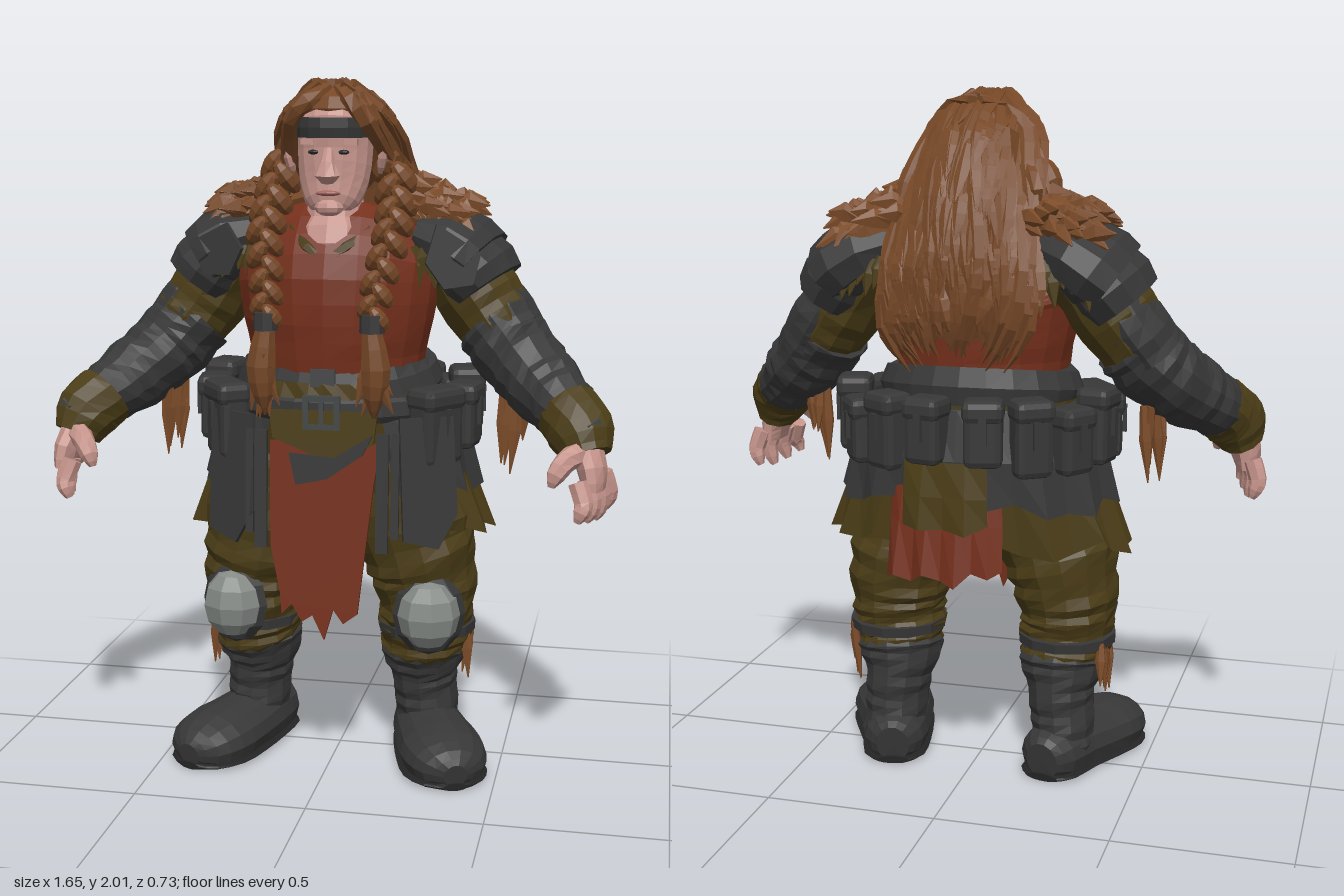
import * as THREE from 'three';
import { mergeGeometries } from 'three/addons/utils/BufferGeometryUtils.js';
import { RoundedBoxGeometry } from 'three/addons/geometries/RoundedBoxGeometry.js';

const V = (x, y, z) => new THREE.Vector3(x, y, z);
let seed = 7;
const rnd = (a = 0, b = 1) => { seed = (seed * 16807) % 2147483647; return a + (b - a) * seed / 2147483647; };

const mat = (name, color) => new THREE.MeshStandardMaterial({ name, color, flatShading: true, side: THREE.DoubleSide });

function fromTriangles(points) {
  const g = new THREE.BufferGeometry().setFromPoints(points);
  g.computeVertexNormals();
  return g;
}

// Catmull-Rom resampling of rows [x, y, z, a, b]
function resample(rows, steps) {
  const out = [], n = rows.length - 1;
  for (let k = 0; k < n; k++) for (let s = 0; s < steps; s++) {
    const t = s / steps, p = [-1, 0, 1, 2].map(o => rows[Math.min(n, Math.max(0, k + o))]);
    out.push(p[1].map((_, c) => {
      const [a, b, d, e] = p.map(q => q[c]);
      return b + 0.5 * t * (d - a + t * (2 * a - 5 * b + 4 * d - e + t * (3 * (b - d) + e - a)));
    }));
  }
  out.push(rows[n]);
  return out;
}

// Elliptical cross-sections along a path; fold adds cloth wrinkles
function sweep(rows, { seg = 12, steps = 1, fold = 0, ref = V(0, 0, 1), floor = -1 } = {}) {
  const r = resample(rows, steps), at = j => V(...r[Math.min(r.length - 1, Math.max(0, j))]);
  const rings = r.map((p, j) => {
    const T = at(j + 1).sub(at(j - 1)).normalize();
    const side = ref.clone().cross(T).normalize(), other = T.clone().cross(side);
    return Array.from({ length: seg }, (_, i) => {
      const th = i / seg * Math.PI * 2, f = 1 + fold * Math.sin(j * 2.1 + 1.3 * Math.sin(th * 2 + j));
      const q = at(j).addScaledVector(side, Math.cos(th) * p[3] * f).addScaledVector(other, Math.sin(th) * p[4] * f);
      q.y = Math.max(q.y, floor);
      return q;
    });
  });
  const tri = [], last = r.length - 1;
  for (let i = 0; i < seg; i++) {
    const k = (i + 1) % seg;
    for (let j = 0; j < last; j++) {
      const A = rings[j], B = rings[j + 1];
      tri.push(A[i], A[k], B[k], A[i], B[k], B[i]);
    }
    tri.push(at(0), rings[0][k], rings[0][i], at(last), rings[last][i], rings[last][k]);
  }
  return fromTriangles(tri);
}

// Curved hanging sheet; rows run top to bottom as [y, rx, rz, zc]
function skirt(a0, a1, rows, jag, n) {
  const grid = rows.map(([y, rx, rz, zc], j) => Array.from({ length: n + 1 }, (_, i) => {
    const th = a0 + (a1 - a0) * i / n, f = 1 + (i % 2 ? 0.02 : -0.015) * j;
    return V(rx * f * Math.sin(th), y + (j === rows.length - 1 ? rnd(-jag, jag) : 0), zc + rz * f * Math.cos(th));
  }));
  const tri = [];
  for (let j = 0; j < rows.length - 1; j++) for (let i = 0; i < n; i++) {
    const a = grid[j][i], b = grid[j + 1][i], c = grid[j + 1][i + 1], d = grid[j][i + 1];
    tri.push(a, b, c, a, c, d);
  }
  return fromTriangles(tri);
}

const place = (g, x, y, z, rx = 0, ry = 0, rz = 0) => g.rotateX(rx).rotateZ(rz).rotateY(ry).translate(x, y, z);
const box = (w, h, d, ...p) => place(new THREE.BoxGeometry(w, h, d), ...p);
const pouch = (w, h, d, ...p) => place(new RoundedBoxGeometry(w, h, d, 1, 0.02), ...p);
const ball = (sx, sy, sz, ...p) => place(new THREE.SphereGeometry(1, 8, 6).scale(sx, sy, sz), ...p);
const plate = (pts, ...p) => place(new THREE.ExtrudeGeometry(
  new THREE.Shape(pts.map(q => new THREE.Vector2(...q))), { depth: 0.012, bevelEnabled: false }), ...p);
const spike = (p, q, r, flat = 0.5) => {
  const ref = Math.abs(q[2] - p[2]) > 0.8 * V(...p).distanceTo(V(...q)) ? V(0, 1, 0) : V(0, 0, 1);
  const mid = p.map((v, i) => (v + q[i]) / 2 + (i === 1 ? 0.01 : 0));
  return sweep([[...p, r * 0.6, r * flat], [...mid, r, r * flat], [...q, 0.002, 0.002]], { seg: 5, ref });
};

export function createModel() {
  const model = new THREE.Group();
  const M = {
    hair: mat('hair', 0x764827), fur: mat('fur', 0x7c4c29), skin: mat('skin', 0xc6958c), lips: mat('lips', 0xa5665f),
    red: mat('red cloth', 0x742f1b), olive: mat('olive cloth', 0x4b3d17), leather: mat('dark leather', 0x383838),
    metal: mat('plate metal', 0x868b87), steel: mat('dark steel', 0x454849), black: mat('sole black', 0x242424),
  };
  const add = (name, material, geos) => {
    const list = geos.map(g => { const h = g.index ? g.toNonIndexed() : g; h.deleteAttribute('uv'); h.clearGroups(); return h; });
    const mesh = new THREE.Mesh(mergeGeometries(list), material);
    mesh.name = name;
    model.add(mesh);
  };
  const both = f => [1, -1].flatMap(f);

  // Head and neck
  add('head', M.skin, [
    sweep([[0, 1.635, 0.14, 0.045, 0.035], [0, 1.66, 0.125, 0.076, 0.062], [0, 1.72, 0.09, 0.1, 0.092], [0, 1.8, 0.07, 0.108, 0.107],
      [0, 1.88, 0.06, 0.106, 0.12], [0, 1.94, 0.04, 0.08, 0.09]], { seg: 16, steps: 2 }),
    sweep([[0, 1.48, 0.1, 0.1, 0.1], [0, 1.53, 0.095, 0.115, 0.117], [0, 1.57, 0.08, 0.11, 0.115], [0, 1.61, 0.07, 0.088, 0.1], [0, 1.68, 0.06, 0.078, 0.085]]),
    sweep([[0, 1.81, 0.165, 0.014, 0.016], [0, 1.77, 0.183, 0.022, 0.024], [0, 1.74, 0.193, 0.038, 0.026], [0, 1.725, 0.178, 0.024, 0.015]], { seg: 8 }),
    ball(0.042, 0.025, 0.03, 0, 1.65, 0.163), box(0.16, 0.016, 0.03, 0, 1.831, 0.153),
    ...both(s => [ball(0.016, 0.055, 0.036, s * 0.137, 1.79, 0.06, 0.2, 0, -s * 0.2)]),
  ]);
  add('lips', M.lips, [ball(0.036, 0.008, 0.02, 0, 1.69, 0.174)]);
  add('eyes', M.black, both(s => [ball(0.017, 0.007, 0.008, s * 0.042, 1.803, 0.166)]));
  add('headband', M.leather, [sweep([[0, 1.842, 0.06, 0.11, 0.128], [0, 1.87, 0.06, 0.113, 0.134], [0, 1.898, 0.06, 0.11, 0.13]], { seg: 18 })]);

  // Hair: under-mass, long back locks, short overlapping clumps, side locks
  const keys = [[1.98, 0.08, 0.04, 0.03], [1.962, -0.06, 0.12, 0.13], [1.88, -0.185, 0.155, 0.17], [1.72, -0.275, 0.19, 0.13], [1.55, -0.325, 0.21, 0.07], [1.4, -0.325, 0.19, 0.05], [1.27, -0.28, 0.12, 0.04]];
  const scalp = (u, t, lift) => {
    const k = Math.min(5, Math.floor(t)), [y, z, w, c] = keys[k].map((v, i) => v + (keys[k + 1][i] - v) * (t - k));
    const back = Math.min(1, t / 3);
    return [u * w * (1 + lift * 2), y - 0.05 * u * u * Math.min(1, t) + lift * (1 - back), z + c * u * u - lift * back * (1 - 0.5 * u * u)];
  };
  const hair = [ball(0.145, 0.15, 0.155, 0, 1.822, -0.035), ball(0.12, 0.064, 0.115, 0, 1.922, 0.06),
    sweep([[0, 1.88, -0.08, 0.13, 0.08], [0, 1.72, -0.15, 0.165, 0.09], [0, 1.58, -0.2, 0.185, 0.1], [0, 1.42, -0.24, 0.17, 0.065], [0, 1.32, -0.25, 0.09, 0.02]], { steps: 2 })];
  for (let n = 0; n < 60; n++) {
    const u = -1 + 2 * (n % 30) / 29 + rnd(-0.04, 0.04), lift = rnd(-0.022, 0.012), end = rnd(5.1, 6), wave = rnd(0, 6), wide = rnd(0.016, 0.026);
    hair.push(sweep(Array.from({ length: 7 }, (_, k) => {
      const [x, y, z] = scalp(u, end * k / 6, lift), f = k === 6 ? 0.08 : 1;
      return [x + 0.016 * Math.sin(wave + k * 1.7), y, z, 0.017 * f, wide * f];
    }), { seg: 5, steps: 2, ref: V(1, 0, 0) }));
  }
  for (let n = 0; n < 150; n++) {
    const u = rnd(-1, 1), t0 = n < 50 ? rnd(0, 2) : rnd(1.5, 4.5), len = rnd(0.9, 1.5), drift = rnd(-0.22, 0.22), wide = rnd(0.016, 0.028);
    hair.push(sweep([0, 0.35, 0.7, 1].map((f, k) => [...scalp(u + drift * f, Math.min(6, t0 + len * f), [0, 0.012, 0.02, 0.028][k]),
      [0.008, 0.014, 0.011, 0.002][k], wide * [0.6, 1, 0.8, 0.05][k]]), { seg: 5, steps: 2, ref: V(1, 0, 0) }));
  }
  const sidePath = [[0.008, 1.975, 0.11], [0.065, 1.952, 0.158], [0.105, 1.89, 0.148], [0.137, 1.8, 0.07], [0.165, 1.7, 0.02], [0.185, 1.58, 0.06]];
  both(s => {
    for (let k = 0; k < 11; k++) hair.push(sweep(sidePath.map(([x, y, z], j) => [
      s * (x + (j > 1 && j < 5 ? 0.005 * Math.min(k, 5) : 0) + rnd(-0.01, 0.01)), y + (j > 3 ? rnd(-0.05, 0.05) : rnd(-0.008, 0.006)), z - 0.02 * k + rnd(-0.01, 0.01),
      j === 5 ? 0.002 : 0.015, j === 5 ? 0.002 : rnd(0.016, 0.028)]), { seg: 5, steps: 2, ref: V(1, 0, 0) }));
    return [];
  });
  add('hair', M.hair, hair);

  // Braids with ties and loose tails
  const braid = s => new THREE.CatmullRomCurve3([V(s * 0.165, 1.76, 0.03), V(s * 0.18, 1.66, 0.11), V(s * 0.178, 1.57, 0.2), V(s * 0.158, 1.46, 0.265), V(s * 0.15, 1.36, 0.305)]);
  add('braids', M.hair, both(s => {
    const out = [];
    for (let k = 0; k < 14; k++) {
      const p = braid(s).getPoint(k / 13), o = k % 2 ? 1 : -1, f = 1.3 - 0.03 * k;
      out.push(ball(0.025 * f, 0.044 * f, 0.03 * f, p.x + o * 0.02 * f, p.y, p.z, 0.3, 0, o * 0.6));
    }
    out.push(sweep([[s * 0.15, 1.32, 0.31, 0.028, 0.028], [s * 0.162, 1.22, 0.315, 0.042, 0.036], [s * 0.157, 1.14, 0.31, 0.03, 0.028], [s * 0.155, 1.08, 0.3, 0.004, 0.004]], { seg: 7, steps: 2 }));
    for (let k = 0; k < 9; k++) out.push(spike([s * 0.157 + rnd(-0.03, 0.03), rnd(1.2, 1.27), 0.31 + rnd(-0.02, 0.03)], [s * 0.157 + rnd(-0.055, 0.055), rnd(1.06, 1.16), 0.31], 0.018));
    return out;
  }));
  add('braidTies', M.leather, both(s => [place(new THREE.CylinderGeometry(0.034, 0.036, 0.05, 8), s * 0.15, 1.345, 0.306)]));

  // Tunic and collar
  add('tunic', M.red, [sweep([[0, 1.16, 0.02, 0.25, 0.21], [0, 1.28, 0.025, 0.268, 0.222], [0, 1.42, 0.022, 0.295, 0.225], [0, 1.51, -0.015, 0.285, 0.2],
    [0, 1.56, -0.07, 0.22, 0.14], [0, 1.61, -0.09, 0.1, 0.07]], { seg: 20, steps: 3, fold: 0.008 })]);
  add('collar', M.olive, both(s => [sweep([[s * 0.14, 1.63, 0.05, 0.024, 0.024], [s * 0.105, 1.58, 0.14, 0.024, 0.022], [s * 0.055, 1.54, 0.195, 0.02, 0.02], [0, 1.5, 0.212, 0.018, 0.018]], { seg: 6, ref: V(0, 1, 0) })]));

  // Fur mantle, ragged cloth edge and layered shoulder pads
  add('furMantle', M.fur, both(s => {
    const out = [ball(0.13, 0.075, 0.14, s * 0.24, 1.635, -0.07, 0, 0, -s * 0.25)];
    for (let k = 0; k < 75; k++) {
      const u = rnd(), sn = Math.sin(rnd(-1.4, 1.4));
      const p = [s * (0.14 + 0.19 * u), 1.715 - 0.05 * u - 0.07 * sn * sn, -0.07 + 0.125 * sn];
      out.push(spike(p, [p[0] + s * rnd(0.05, 0.12), p[1] - rnd(-0.03, 0.06), p[2] + 0.05 * sn + rnd(-0.03, 0.03)], 0.03));
    }
    return out;
  }));
  add('shoulderPads', M.leather, both(s => [
    sweep([[s * 0.22, 1.575, -0.05, 0.075, 0.16], [s * 0.3, 1.55, -0.055, 0.112, 0.212], [s * 0.362, 1.51, -0.055, 0.122, 0.225], [s * 0.4, 1.48, -0.05, 0.116, 0.21]], { seg: 12 }),
    sweep([[s * 0.36, 1.5, -0.05, 0.112, 0.19], [s * 0.4, 1.455, -0.05, 0.124, 0.195], [s * 0.43, 1.415, -0.045, 0.114, 0.175]], { seg: 12 }),
    plate([[-0.07, 0.05], [0.08, 0.04], [0.1, -0.05], [0.03, -0.1], [-0.05, -0.06]], s * 0.34, 1.53, 0.155, -0.15, s * 0.35, -s * 0.5),
    box(0.07, 0.025, 0.035, s * 0.46, 1.5, 0.06, 0, 0, -s * 0.8), box(0.07, 0.025, 0.035, s * 0.46, 1.5, -0.14, 0, 0, -s * 0.8)]));
  add('shoulderFringe', M.olive, both(s => Array.from({ length: 12 }, (_, k) => {
    const front = k < 6, x = 0.23 + 0.024 * (k % 6), z = front ? 0.11 : -0.22;
    return spike([s * x, 1.54 - 0.03 * (k % 6) / 5, z], [s * (x + 0.02), rnd(1.41, 1.47), z + (front ? 0.02 : -0.02)], 0.026);
  })));

  // Arms, cuffs and hands
  add('upperArms', M.olive, both(s => [sweep([[s * 0.3, 1.53, -0.06, 0.12, 0.14], [s * 0.41, 1.375, -0.05, 0.122, 0.135], [s * 0.475, 1.285, -0.03, 0.113, 0.12]], { steps: 4, fold: 0.03 })]));
  add('forearms', M.leather, both(s => [
    sweep([[s * 0.445, 1.31, -0.04, 0.118, 0.125], [s * 0.525, 1.222, 0, 0.118, 0.122], [s * 0.615, 1.14, 0.08, 0.106, 0.108], [s * 0.695, 1.08, 0.17, 0.086, 0.088]], { seg: 14, steps: 5, fold: 0.05 }),
    sweep([[s * 0.415, 1.42, -0.06, 0.088, 0.11], [s * 0.455, 1.355, -0.055, 0.098, 0.124], [s * 0.51, 1.275, -0.03, 0.098, 0.12]], { steps: 3, fold: 0.03 })]));
  add('cuffs', M.olive, both(s => [sweep([[s * 0.675, 1.095, 0.15, 0.094, 0.092], [s * 0.715, 1.05, 0.195, 0.096, 0.092], [s * 0.74, 0.985, 0.225, 0.07, 0.085]], { steps: 3, fold: 0.03 })]));
  add('cuffBuckles', M.steel, both(s => [box(0.04, 0.04, 0.03, s * 0.755, 1.07, 0.255, 0, s * 0.6, s * 0.5)]));
  add('hands', M.skin, both(s => {
    const out = [sweep([[s * 0.735, 1.01, 0.22, 0.045, 0.07], [s * 0.755, 0.95, 0.245, 0.042, 0.085], [s * 0.76, 0.9, 0.25, 0.032, 0.085]], { seg: 10, steps: 2 }),
      sweep([[s * 0.715, 1.0, 0.28, 0.034, 0.034], [s * 0.685, 0.985, 0.32, 0.031, 0.031], [s * 0.66, 0.95, 0.345, 0.026, 0.026], [s * 0.65, 0.92, 0.35, 0.01, 0.01]], { seg: 7, steps: 2 })];
    for (let i = 0; i < 4; i++) {
      const z = 0.175 + i * 0.05, x = 0.792 - i * 0.02, y = 0.805 + Math.abs(i - 1.2) * 0.012;
      out.push(sweep([[s * (x - 0.012), 0.93, z, 0.028, 0.027], [s * (x + 0.006), 0.875, z + 0.008 * (i - 1), 0.027, 0.025],
        [s * x, y + 0.025, z + 0.014 * (i - 1), 0.023, 0.021], [s * (x - 0.01), y, z + 0.014 * (i - 1), 0.011, 0.011]], { seg: 7, steps: 2 }));
    }
    return out;
  }));
  add('armTassels', M.fur, both(s => Array.from({ length: 7 }, () => {
    const x = rnd(0.48, 0.56), z = rnd(-0.05, 0.06);
    return spike([s * x, 1.12, z], [s * (x + rnd(-0.02, 0.02)), rnd(0.88, 1), z + rnd(-0.02, 0.02)], 0.02);
  })));

  // Hips, layered skirts and hanging cloths
  add('hips', M.olive, [sweep([[0, 0.78, 0, 0.27, 0.18], [0, 0.95, -0.01, 0.3, 0.22], [0, 1.13, 0, 0.29, 0.235]], { seg: 18 })]);
  add('clothSkirt', M.olive, [skirt(0.65, Math.PI * 2 - 0.65, [[1.1, 0.3, 0.23, -0.01], [0.9, 0.38, 0.245, -0.02], [0.71, 0.45, 0.23, -0.02]], 0.03, 24)]);
  add('leatherSkirt', M.leather, [skirt(0.5, Math.PI * 2 - 0.5, [[1.12, 0.31, 0.25, -0.01], [0.98, 0.38, 0.272, -0.025], [0.84, 0.41, 0.265, -0.03]], 0.03, 24)]);
  add('frontTassets', M.leather, both(s => [
    plate([[-0.07, 0], [0.09, 0], [0.1, -0.28], [0.04, -0.38], [-0.065, -0.35]], s * 0.275, 1.07, 0.205, -0.07, s * 0.5),
    box(0.035, 0.34, 0.015, s * 0.175, 0.86, 0.275, -0.05), box(0.022, 0.3, 0.014, s * 0.21, 0.88, 0.265, -0.05)]));
  add('loincloth', M.red, [plate([[-0.15, 0], [-0.145, -0.3], [-0.115, -0.44], [-0.11, -0.5], [-0.08, -0.47], [-0.05, -0.52], [-0.02, -0.5], [0.015, -0.57], [0.04, -0.48],
    [0.07, -0.52], [0.11, -0.49], [0.125, -0.35], [0.15, -0.12], [0.17, 0]], 0, 1, 0.257, -0.08)]);
  add('loinclothTop', M.olive, [plate([[-0.15, 0.09], [0.16, 0.09], [0.15, 0], [0.04, -0.06], [-0.14, 0.01]], 0, 1, 0.268, -0.05)]);
  add('frontFlap', M.leather, [plate([[-0.09, -0.03], [-0.07, -0.12], [0.02, -0.1], [0.12, -0.03], [0.15, 0.03], [0.04, -0.04]], 0, 1, 0.28, -0.05)]);
  add('backCloth', M.red, [skirt(2.58, 3.52, [[0.95, 0.36, 0.265, -0.02], [0.8, 0.38, 0.28, -0.025], [0.65, 0.4, 0.3, -0.03]], 0.03, 8)]);
  add('backPanel', M.olive, [skirt(2.75, 3.4, [[0.98, 0.385, 0.285, -0.025], [0.88, 0.4, 0.29, -0.03], [0.79, 0.41, 0.295, -0.03]], 0.015, 4)]);

  // Belt, buckles and pouches
  add('belt', M.leather, [
    sweep([[0, 1.13, 0, 0.295, 0.24], [0, 1.15, 0, 0.305, 0.25], [0, 1.2, 0.01, 0.285, 0.24], [0, 1.21, 0.01, 0.265, 0.22]], { seg: 24 }),
    sweep([[0, 1.05, 0, 0.315, 0.25], [0, 1.07, 0, 0.328, 0.262], [0, 1.11, 0, 0.322, 0.26], [0, 1.12, 0, 0.31, 0.25]], { seg: 24 })]);
  add('sash', M.olive, [skirt(-0.5, 0.5, [[1.165, 0.312, 0.256, 0], [1.125, 0.33, 0.262, 0]], 0.008, 8)]);
  add('buckle', M.steel, [box(0.1, 0.016, 0.018, 0, 1.125, 0.27), box(0.1, 0.016, 0.018, 0, 1.045, 0.27),
    ...both(s => [box(0.016, 0.095, 0.018, s * 0.045, 1.085, 0.27)]), box(0.012, 0.07, 0.015, 0, 1.085, 0.272), box(0.07, 0.05, 0.012, 0, 1.18, 0.25)]);
  const angles = [0.95, 1.4, 1.8, 2.18, 2.55, 2.92];
  const ring = (th, out, y) => [(0.365 + out) * Math.sin(th), y, -0.015 + (0.262 + out) * Math.cos(th), 0, th];
  add('pouches', M.leather, both(s => angles.flatMap((t, k) => {
    const th = s * t, w = k ? 0.11 : 0.15, h = k % 2 ? 0.18 : 0.21, y = 1.03 + (k % 3) * 0.015;
    return [pouch(w, h, 0.09, ...ring(th, 0.01, y)), pouch(w + 0.008, 0.065, 0.104, ...ring(th, 0.012, y + h / 2 - 0.02)), box(0.022, 0.08, 0.012, ...ring(th, 0.062, y + 0.02))];
  })));

  // Trousers, knee guards and boots
  add('trousers', M.olive, both(s => [sweep([[s * 0.18, 0.92, 0, 0.17, 0.19], [s * 0.22, 0.72, 0.02, 0.185, 0.175], [s * 0.255, 0.58, 0.01, 0.16, 0.165], [s * 0.265, 0.47, 0.01, 0.142, 0.155],
    [s * 0.26, 0.39, 0, 0.138, 0.14], [s * 0.255, 0.33, -0.01, 0.125, 0.13]], { seg: 14, steps: 4, fold: 0.045 })]));
  add('kneeRims', M.leather, both(s => [ball(0.108, 0.125, 0.055, s * 0.292, 0.475, 0.14, 0, s * 0.25),
    sweep([[s * 0.265, 0.39, 0, 0.146, 0.155], [s * 0.265, 0.42, 0, 0.148, 0.16]])]));
  add('kneePlates', M.metal, both(s => [ball(0.092, 0.102, 0.075, s * 0.295, 0.478, 0.165, 0, s * 0.25)]));
  add('kneeTassels', M.fur, both(s => Array.from({ length: 6 }, (_, k) => {
    const z = -0.08 + k * 0.022;
    return spike([s * 0.385, 0.41, z], [s * rnd(0.36, 0.4), rnd(0.22, 0.31), z + rnd(-0.02, 0.02)], 0.017);
  })));
  const foot = [[0.232, 0.06, -0.175, 0.05, 0.06], [0.242, 0.065, -0.13, 0.09, 0.085], [0.27, 0.065, -0.02, 0.105, 0.095], [0.315, 0.062, 0.1, 0.122, 0.088],
    [0.355, 0.058, 0.2, 0.125, 0.085], [0.385, 0.05, 0.27, 0.09, 0.065], [0.397, 0.045, 0.3, 0.035, 0.035]];
  add('boots', M.leather, both(s => [
    sweep([[s * 0.265, 0.07, -0.04, 0.1, 0.12], [s * 0.262, 0.16, -0.035, 0.095, 0.115], [s * 0.255, 0.25, -0.03, 0.104, 0.117], [s * 0.255, 0.33, -0.015, 0.132, 0.135], [s * 0.258, 0.375, -0.01, 0.12, 0.125]], { steps: 4, fold: 0.04 }),
    sweep(foot.map(([x, ...q]) => [s * x, ...q]), { seg: 14, steps: 2, fold: 0.012, ref: V(0, 1, 0), floor: 0.012 })]));
  add('soles', M.black, both(s => [sweep(foot.map(([x, , z, a]) => [s * x, 0.011, z, a * 1.01, 0.011]), { seg: 14, steps: 2, ref: V(0, 1, 0), floor: 0 })]));
  return model;
}
